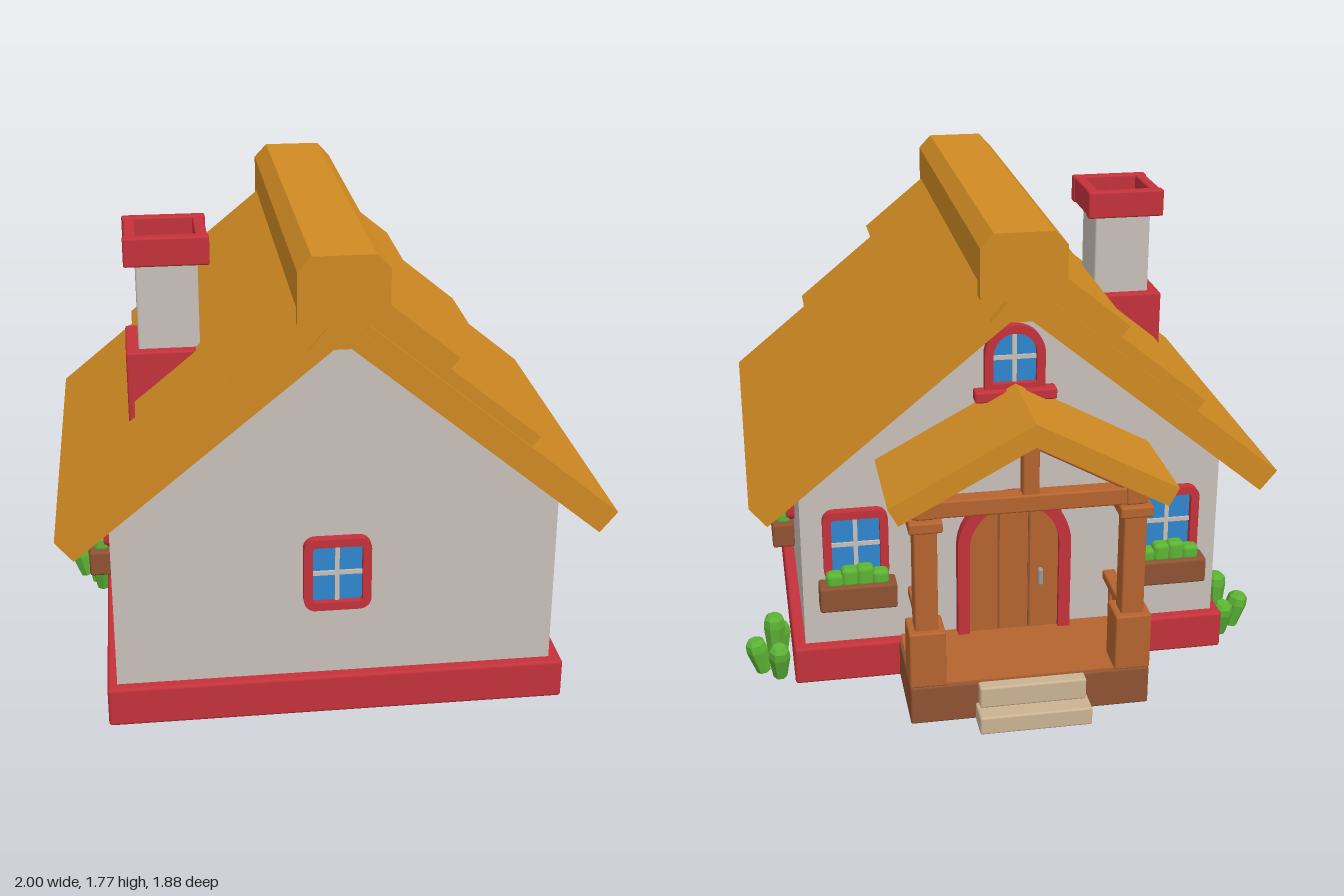
import * as THREE from 'three';
import { RoundedBoxGeometry } from 'three/addons/geometries/RoundedBoxGeometry.js';

const CX = -0.015; // centre line of the house
const mat = (name, color) => Object.assign(new THREE.MeshStandardMaterial({ color }), { name });

export function createModel() {
  const M = {
    wall: mat('plaster', 0xc9c1ba), red: mat('red paint', 0xc4323b), roof: mat('thatch', 0xd08a22),
    wood: mat('wood', 0xb5642f), dark: mat('dark wood', 0x8f5233), green: mat('leaf green', 0x5cb334),
    glass: mat('glass blue', 0x2f88cf), stone: mat('step stone', 0xcbb392),
    soot: mat('soot grey', 0x555962), metal: mat('handle metal', 0x9a9a9a),
  };
  const house = new THREE.Group();
  house.name = 'cottage';

  const add = (parent, name, geo, m) => {
    const mesh = new THREE.Mesh(geo, m);
    mesh.name = name;
    parent.add(mesh);
    return mesh;
  };
  // box given by its min and max corners, with softly rounded edges
  const box = (parent, name, m, x0, x1, y0, y1, z0, z1, r = 0.008) => {
    const s = [x1 - x0, y1 - y0, z1 - z0];
    const geo = r ? new RoundedBoxGeometry(...s, 2, Math.min(r, ...s.map((v) => v * 0.4))) : new THREE.BoxGeometry(...s);
    const b = add(parent, name, geo, m);
    b.position.set((x0 + x1) / 2, (y0 + y1) / 2, (z0 + z1) / 2);
    return b;
  };
  const extrude = (parent, name, m, shape, z0, z1) => {
    const geo = new THREE.ExtrudeGeometry(shape, { depth: z1 - z0, bevelEnabled: false, curveSegments: 12 });
    const e = add(parent, name, geo, m);
    e.position.z = z0;
    return e;
  };
  const poly = (pts) => new THREE.Shape(pts.map(([x, y]) => new THREE.Vector2(x, y)));
  const prism = (name, m, pts, z0, z1) => {
    const p = extrude(house, name, m, poly(pts), z0, z1);
    p.position.x = CX;
    return p;
  };
  // two roof slopes meeting at the ridge, with eaves cut square to the slope
  const chevron = (name, ex, ey, slope, th, z0, z1) => {
    const a = Math.atan(slope), bx = ex - th * Math.sin(a), by = ey - th * Math.cos(a);
    return prism(name, M.roof, [[ex, ey], [0, ey + ex * slope], [-ex, ey], [-bx, by], [0, by + bx * slope], [bx, by]], z0, z1);
  };
  const roundRect = (w, y0, y1, r) => {
    const s = new THREE.Shape(), h = w / 2;
    s.moveTo(-h + r, y0).lineTo(h - r, y0);
    s.absarc(h - r, y0 + r, r, -Math.PI / 2, 0);
    s.absarc(h - r, y1 - r, r, 0, Math.PI / 2);
    s.absarc(-h + r, y1 - r, r, Math.PI / 2, Math.PI);
    s.absarc(-h + r, y0 + r, r, Math.PI, Math.PI * 1.5);
    return s;
  };
  const arch = (w, y0, y1) => {
    const s = new THREE.Shape();
    s.moveTo(-w / 2, y0).lineTo(w / 2, y0);
    s.absarc(0, y1 - w / 2, w / 2, 0, Math.PI);
    s.closePath();
    return s;
  };

  // foundation and gabled walls
  box(house, 'foundation', M.red, -0.84, 0.82, 0, 0.15, -0.49, 0.84, 0.012);
  prism('walls', M.wall, [[-0.79, 0.1], [0.79, 0.1], [0.79, 0.815], [0, 1.465], [-0.79, 0.815]], -0.45, 0.8);

  // layered roof and ridge cap
  chevron('roofBase', 0.97, 0.79, 0.82, 0.097, -0.588, 0.918);
  chevron('roofMiddleLayer', 0.682, 1.085, 0.82, 0.055, -0.576, 0.905);
  chevron('roofUpperLayer', 0.393, 1.385, 0.82, 0.055, -0.576, 0.905);
  prism('ridgeCap', M.roof, [[-0.152, 1.53], [-0.14, 1.52], [0.14, 1.52], [0.152, 1.53], [0.152, 1.71],
    [0.105, 1.76], [-0.105, 1.76], [-0.152, 1.71]], -0.635, 0.938);
  prism('ridgeWedge', M.roof, [[-0.115, 1.44], [0.115, 1.44], [0.04, 1.53], [-0.04, 1.53]], -0.625, 0.928);

  // chimney with a hollow cap
  box(house, 'chimneyBase', M.red, -0.72, -0.42, 0.98, 1.27, 0.125, 0.425);
  box(house, 'chimneyStack', M.wall, -0.675, -0.455, 1.25, 1.6, 0.165, 0.385);
  box(house, 'chimneyHole', M.soot, -0.68, -0.45, 1.601, 1.609, 0.16, 0.39, 0);
  for (const z of [0.12, 0.385]) box(house, 'chimneyCapBar', M.red, -0.715, -0.415, 1.585, 1.69, z, z + 0.045);
  for (const x of [-0.71, -0.462]) box(house, 'chimneyCapSide', M.red, x, x + 0.042, 1.587, 1.688, 0.14, 0.41);

  // window facing local +z; outline(inset) gives its shape
  const windowAt = (name, x, z, turn, y0, y1, w, outline, planted) => {
    const g = new THREE.Group();
    g.name = name;
    g.position.set(x, 0, z);
    g.rotation.y = turn;
    house.add(g);
    const frame = outline(0);
    frame.holes.push(outline(0.031));
    extrude(g, 'windowFrame', M.red, frame, -0.01, 0.035);
    extrude(g, 'windowPane', M.glass, outline(0.03), 0.004, 0.01);
    const cy = (y0 + y1) / 2;
    box(g, 'muntinUpright', M.wall, -0.008, 0.008, y0 + 0.02, y1 - 0.02, 0.008, 0.017, 0);
    box(g, 'muntinBar', M.wall, -w / 2 + 0.02, w / 2 - 0.02, cy - 0.008, cy + 0.008, 0.008, 0.017, 0);
    if (planted) {
      box(g, 'flowerBox', M.dark, -0.143, 0.143, 0.322, 0.422, 0.005, 0.092, 0.01);
      [0.468, 0.485, 0.49, 0.47].forEach((top, i) => {
        const px = -0.084 + i * 0.056;
        box(g, 'windowPlant', M.green, px - 0.032, px + 0.032, 0.41, top, 0.018, 0.075, 0.018);
      });
    }
    return g;
  };
  const square = (i) => roundRect(0.24 - 2 * i, 0.42 + i, 0.7 - i, i ? 0.012 : 0.042);
  const house4 = [['frontWindow', CX, 0.8, 0, false], ['leftWindow', 0.775, 0.16, Math.PI / 2, true],
    ['rightWindow', -0.805, 0.16, -Math.PI / 2, true], ['backWindowA', CX + 0.59, -0.45, Math.PI, true],
    ['backWindowB', CX - 0.59, -0.45, Math.PI, true]];
  for (const [n, x, z, t, planted] of house4) windowAt(n, x, z, t, 0.42, 0.7, 0.24, square, planted);
  const attic = windowAt('atticWindow', CX, -0.45, Math.PI, 1.13, 1.38, 0.22,
    (i) => arch(0.22 - 2 * i, 1.13 + i, 1.38 - i), false);
  box(attic, 'atticSill', M.red, -0.15, 0.15, 1.1, 1.142, 0, 0.06);

  // arched plank door
  const door = new THREE.Group();
  door.name = 'door';
  door.position.set(CX, 0, -0.45);
  door.rotation.y = Math.PI;
  house.add(door);
  const doorFrame = arch(0.43, 0.15, 0.73);
  doorFrame.holes.push(arch(0.34, 0.151, 0.685));
  extrude(door, 'doorFrame', M.red, doorFrame, -0.01, 0.045);
  extrude(door, 'doorPanel', M.wood, arch(0.35, 0.15, 0.69), 0, 0.025);
  for (const x of [-0.058, 0.058]) box(door, 'plankSeam', M.dark, x - 0.004, x + 0.004, 0.16, 0.66, 0.022, 0.028, 0);
  box(door, 'doorHandle', M.metal, 0.09, 0.11, 0.34, 0.41, 0.025, 0.05);

  // porch deck and steps
  box(house, 'porchDeck', M.dark, CX - 0.44, CX + 0.44, 0, 0.15, -0.83, -0.45);
  box(house, 'porchFloor', M.wood, CX - 0.43, CX + 0.43, 0.148, 0.156, -0.82, -0.45, 0);
  box(house, 'lowerStep', M.stone, CX - 0.205, CX + 0.205, 0, 0.07, -0.94, -0.83);
  box(house, 'upperStep', M.stone, CX - 0.195, CX + 0.195, 0.07, 0.153, -0.877, -0.825);

  // posts, railings and side beams, mirrored
  for (const s of [-1, 1]) {
    const x = CX + s * 0.375;
    const part = (name, hw, y0, y1, z0, z1) => box(house, name, M.wood, x - hw, x + hw, y0, y1, z0, z1);
    part('postFoot', 0.066, 0.15, 0.37, -0.832, -0.7);
    part('post', 0.042, 0.36, 0.78, -0.808, -0.724);
    part('postCapital', 0.06, 0.757, 0.8, -0.826, -0.706);
    part('sideBeam', 0.035, 0.8, 0.87, -0.805, -0.44);
    part('handrail', 0.025, 0.325, 0.362, -0.71, -0.45);
    for (const z of [-0.5, -0.56, -0.62, -0.68]) part('baluster', 0.011, 0.15, 0.33, z - 0.011, z + 0.011);
    // sloping truss brace
    const brace = box(house, 'trussBrace', M.wood, -0.2, 0.2, -0.022, 0.022, -0.79, -0.74);
    brace.position.set(CX + s * 0.19, 0.96, -0.765);
    brace.rotation.z = -s * Math.atan(0.55);
  }
  box(house, 'crossBeam', M.wood, CX - 0.42, CX + 0.42, 0.8, 0.865, -0.8, -0.735);
  box(house, 'kingPost', M.wood, CX - 0.03, CX + 0.03, 0.85, 1.06, -0.793, -0.738);
  chevron('porchRoof', 0.51, 0.885, 0.54, 0.075, -0.872, -0.44);

  // garden plants: [x, z, height, tilt outward, tilt along z]
  const leaves = [[0.885, -0.29, 0.2, 0, 0], [0.935, -0.355, 0.14, 0.22, 0], [0.865, -0.235, 0.13, 0, 0.12],
    [0.875, -0.4, 0.145, 0, -0.22]];
  for (const s of [-1, 1]) {
    const bush = new THREE.Group();
    bush.name = 'gardenPlant';
    bush.position.z = s < 0 ? 0.03 : -0.01;
    house.add(bush);
    for (const [x, z, h, out, along] of leaves) {
      const profile = [[0, 0], [0.027, 0], [0.042, h - 0.045], [0.038, h - 0.015], [0.024, h], [0, h]];
      const geo = new THREE.LatheGeometry(profile.map(([r, y]) => new THREE.Vector2(r, y)), 7).toNonIndexed();
      geo.computeVertexNormals();
      const leaf = add(bush, 'leaf', geo, M.green);
      leaf.position.set(s * x, 0, z);
      leaf.rotation.set(along, 0, -s * out);
    }
  }
  return house;
}
